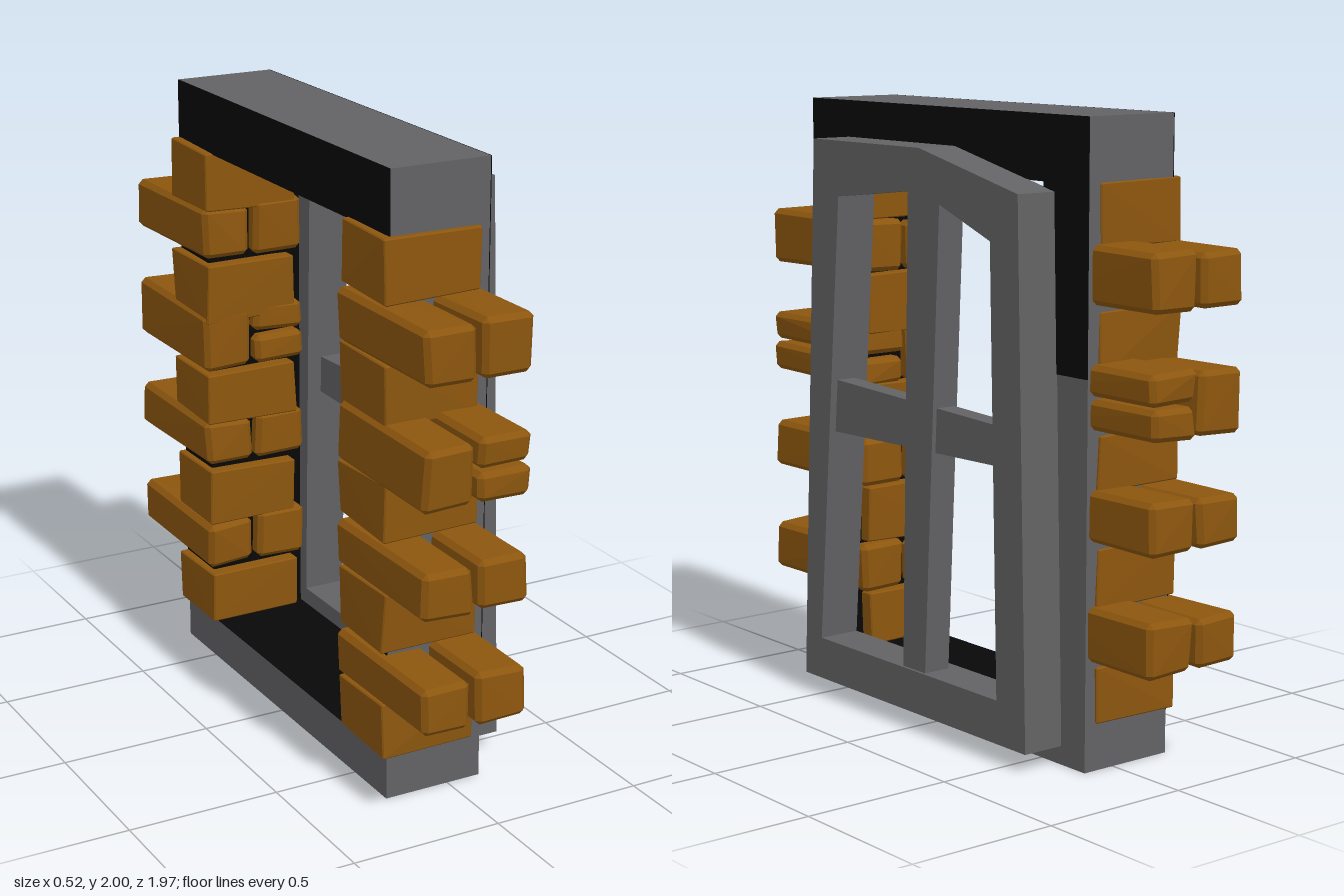
import * as THREE from 'three';
import { ConvexGeometry } from 'three/addons/geometries/ConvexGeometry.js';

const grey = new THREE.MeshStandardMaterial({ color: 0x626264, flatShading: true });
grey.name = 'grey frame';
const black = new THREE.MeshStandardMaterial({ color: 0x080808, flatShading: true });
black.name = 'black lining';
const ochre = new THREE.MeshStandardMaterial({ color: 0x8c560e, flatShading: true });
ochre.name = 'ochre stone';

// Small seeded random in -1..1
let seed = 7;
const rnd = () => {
  seed = (seed * 16807) % 2147483647;
  return (seed / 2147483647) * 2 - 1;
};

function add(parent, geo, mat, name) {
  const m = new THREE.Mesh(geo, mat);
  m.name = name;
  parent.add(m);
  return m;
}

// Extrude a [z, y] outline along x from x0 to x1, with an optional hole
function slab(outline, hole, x0, x1) {
  const pts = (a) => a.map(([z, y]) => new THREE.Vector2(-z, y));
  const shape = new THREE.Shape(pts(outline));
  if (hole) shape.holes.push(new THREE.Path(pts(hole)));
  const g = new THREE.ExtrudeGeometry(shape, { depth: x1 - x0, bevelEnabled: false });
  g.rotateY(Math.PI / 2);
  g.translate(x0, 0, 0);
  return g;
}

const rect = (z0, z1, y0, y1) => [[z1, y0], [z0, y0], [z0, y1], [z1, y1]];

// Rough stone: a chamfered block with slightly shaken corners
function stone(x0, x1, y0, y1, z0, z1, c, shake) {
  const min = [x0, y0, z0], max = [x1, y1, z1], pts = [];
  for (let i = 0; i < 8; i++) {
    const s = [i & 1, (i >> 1) & 1, (i >> 2) & 1];
    const corner = s.map((b, k) => (b ? max[k] - Math.abs(rnd()) * shake : min[k] + Math.abs(rnd()) * shake));
    for (let a = 0; a < 3; a++) {
      const p = corner.map((v, k) => (k === a ? v : v + (s[k] ? -c : c)));
      pts.push(new THREE.Vector3(...p));
    }
  }
  return new ConvexGeometry(pts);
}

export function createModel() {
  const model = new THREE.Group();
  model.name = 'window';
  const X0 = -0.22, X1 = 0.115, T = 0.003;

  // Surround
  add(model, slab(rect(-0.705, 0.7, 0, 2), rect(-0.5, 0.5, 0.14, 1.8), X0, X1), grey, 'surround');

  // Black faces: both sides of the lintel and jambs
  const faces = new THREE.Group();
  faces.name = 'blackFaces';
  model.add(faces);
  const plate = (z0, z1, y0, y1, x, name) => add(faces, slab(rect(z0, z1, y0, y1), null, x, x + T), black, name);
  plate(-0.705, 0.7, 1.8, 2, X1, 'lintelFront');
  plate(0.5, 0.7, 0.37, 1.8, X1, 'jambFrontA');
  plate(-0.705, -0.5, 1.22, 1.8, X1, 'jambFrontB');
  plate(-0.705, 0.7, 1.8, 2, X0 - T, 'lintelBack');
  plate(0.5, 0.7, 0.14, 1.8, X0 - T, 'jambBackA');
  plate(-0.705, -0.5, 0.14, 1.8, X0 - T, 'jambBackB');

  // Black lining of the opening
  add(faces, slab(rect(-0.5, 0.5, 0.14, 1.8), rect(-0.497, 0.497, 0.143, 1.797), X0, X1), black, 'lining');

  // Sash
  const sash = new THREE.Group();
  sash.name = 'sash';
  model.add(sash);
  add(sash, slab(
    [[0.575, 0.06], [-0.595, 0.06], [-0.55, 1.77], [-0.07, 1.88], [0.495, 1.88]],
    [[0.48, 0.2], [-0.455, 0.2], [-0.42, 1.62], [-0.07, 1.75], [0.36, 1.7]],
    X1, 0.26), grey, 'sashFrame');
  add(sash, slab([[0.035, 0.19], [-0.08, 0.19], [-0.16, 1.72], [-0.07, 1.752], [0, 1.745]], null, 0.155, 0.25), grey, 'uprightBar');
  add(sash, slab([[0.425, 0.915], [-0.45, 0.93], [-0.445, 1.055], [0.415, 1.09]], null, 0.165, 0.235), grey, 'crossBar');

  // Corner stones: short single blocks alternating with long pairs
  const shorts = [[0.145, 0.335], [0.5, 0.705], [0.865, 1.055], [1.22, 1.43], [1.6, 1.81]];
  const longs = [[0.33, 0.505], [0.7, 0.87], [1.04, 1.255], [1.42, 1.61]];
  for (const side of [1, -1]) {
    const col = new THREE.Group();
    col.name = side > 0 ? 'stonesFront' : 'stonesBack';
    model.add(col);
    const dy = side > 0 ? 0 : 0.017;
    const put = (x0, x1, y0, y1, zIn, zOut, c, shake, name) => {
      const z = [side * zIn, side * zOut].sort((a, b) => a - b);
      add(col, stone(x0, x1, y0, y1, z[0], z[1], c, shake), ochre, name);
    };
    for (const [a, b] of shorts) {
      put(-0.255, 0.08, a, b, 0.445, side > 0 ? 0.73 : 0.718, 0.004, 0.012, 'shortStone');
    }
    longs.forEach(([a, b], i) => {
      put(-0.265, -0.085, a + dy, b + dy - 0.01, 0.445, 0.985, 0.016, 0.012, 'longStone');
      const mid = (a + b) / 2 + dy;
      const rows = i === 2 ? [[a + dy, mid - 0.003], [mid + 0.003, b + dy]] : [[a + dy, b + dy]];
      for (const [p, q] of rows) put(-0.077, 0.108, p, q, 0.445, 0.985, 0.016, 0.01, 'longStone');
    });
  }
  return model;
}
